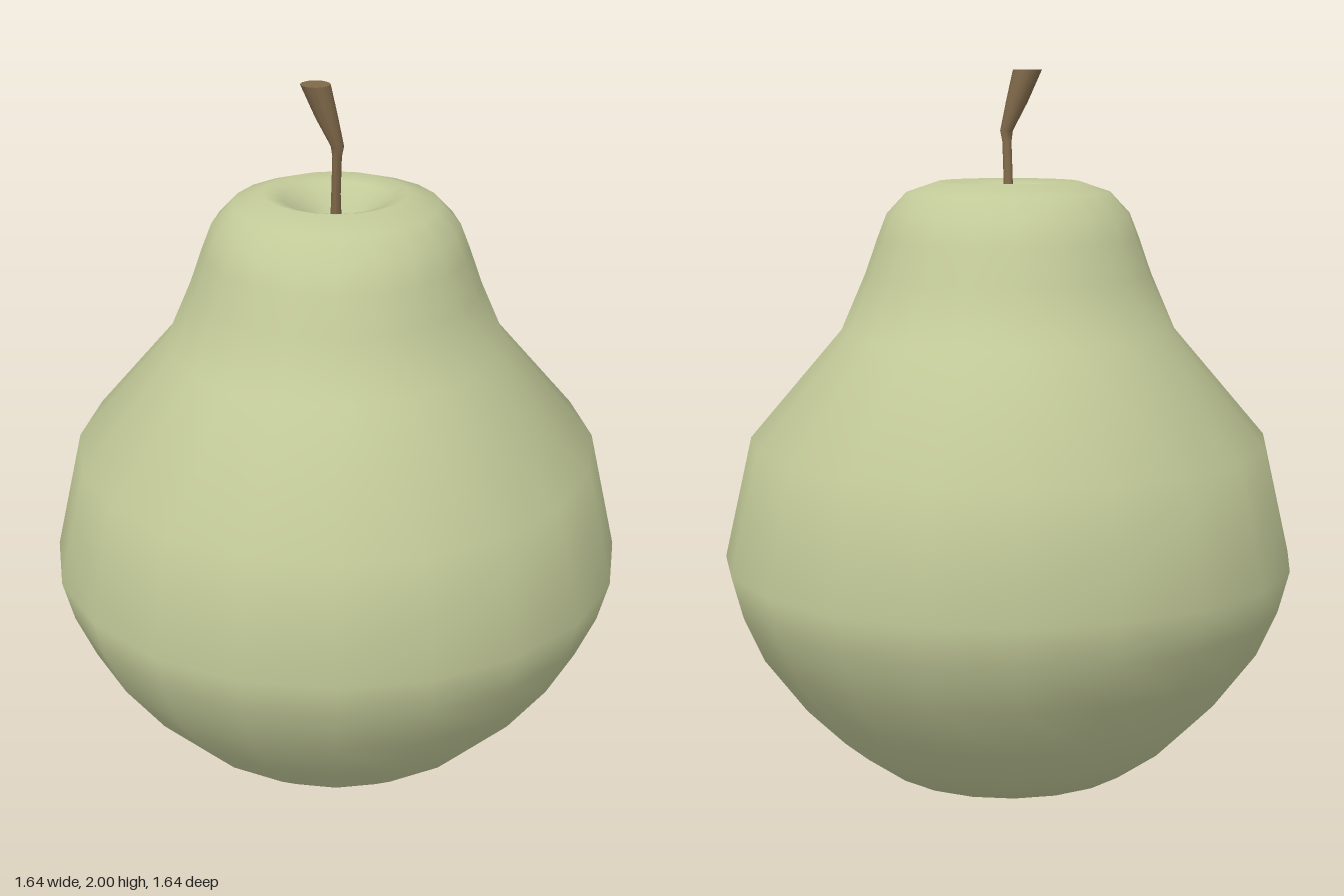
import * as THREE from 'three';
import { mergeVertices } from 'three/addons/utils/BufferGeometryUtils.js';

const SIDES = 20;
const toVectors = (pairs) => pairs.map(([r, y]) => new THREE.Vector2(r, y));

// Weld seams so that smooth normals run all the way round
function smooth(geometry) {
  geometry.deleteAttribute('uv');
  geometry.deleteAttribute('normal');
  const welded = mergeVertices(geometry, 1e-4);
  welded.computeVertexNormals();
  return welded;
}

// Fruit body: a lathe from the base hollow to the stem hollow, neck narrower in x
function makeBody(material) {
  const profile = toVectors([
    [0.18, 0.06], [0.24, 0.02], [0.30, 0.003], [0.375, 0],
    [0.50, 0.09], [0.61, 0.2], [0.73, 0.36], [0.788, 0.49], [0.82, 0.61],
    [0.80, 0.96], [0.515, 1.27], [0.44, 1.43], [0.40, 1.53], [0.357, 1.6],
    [0.29, 1.66], [0.20, 1.69], [0.15, 1.675], [0.095, 1.62],
    [0.06, 1.55], [0.03, 1.5], [0, 1.49],
  ]);
  const geometry = new THREE.LatheGeometry(profile, SIDES);
  const p = geometry.attributes.position;
  for (let i = 0; i < p.count; i++) {
    const y = p.getY(i);
    const squash = 0.075 * THREE.MathUtils.smoothstep(y, 0.61, 0.96)
      * (1 - THREE.MathUtils.smoothstep(y, 1.5, 1.69));
    p.setX(i, p.getX(i) * (1 - squash));
  }
  const body = new THREE.Mesh(smooth(geometry), material);
  body.name = 'body';
  return body;
}

// Base hollow: faceted wall and flat floor
function makeBaseHollow(material) {
  const profile = toVectors([[0, 0.13], [0.137, 0.13], [0.18, 0.06]]);
  const hollow = new THREE.Mesh(new THREE.LatheGeometry(profile, SIDES), material);
  hollow.name = 'baseHollow';
  return hollow;
}

// Stem: rings of a cylinder moved along a bent, flaring path
function makeStem(material) {
  const rings = [ // x, y, z, radius from top to bottom
    [-0.055, 2.0, 0.037, 0.041],
    [-0.025, 1.91, 0.038, 0.031],
    [0.004, 1.83, 0.038, 0.018],
    [0.003, 1.8, 0.034, 0.013],
    [0, 1.69, 0.018, 0.013],
    [0, 1.48, -0.01, 0.02],
  ];
  const geometry = new THREE.CylinderGeometry(1, 1, 1, 12, rings.length - 1);
  const p = geometry.attributes.position;
  for (let i = 0; i < p.count; i++) {
    const [x, y, z, r] = rings[Math.round((0.5 - p.getY(i)) * (rings.length - 1))];
    p.setXYZ(i, x + p.getX(i) * r, y, z + p.getZ(i) * r);
  }
  geometry.computeVertexNormals();
  const stem = new THREE.Mesh(geometry, material);
  stem.name = 'stem';
  return stem;
}

export function createModel() {
  const skin = new THREE.MeshStandardMaterial({ color: 0xc2c998 });
  const facetedSkin = new THREE.MeshStandardMaterial({ color: 0xc2c998, flatShading: true });
  const wood = new THREE.MeshStandardMaterial({ color: 0x80694a });
  const pear = new THREE.Group();
  pear.name = 'pear';
  pear.add(makeBody(skin), makeBaseHollow(facetedSkin), makeStem(wood));
  return pear;
}
